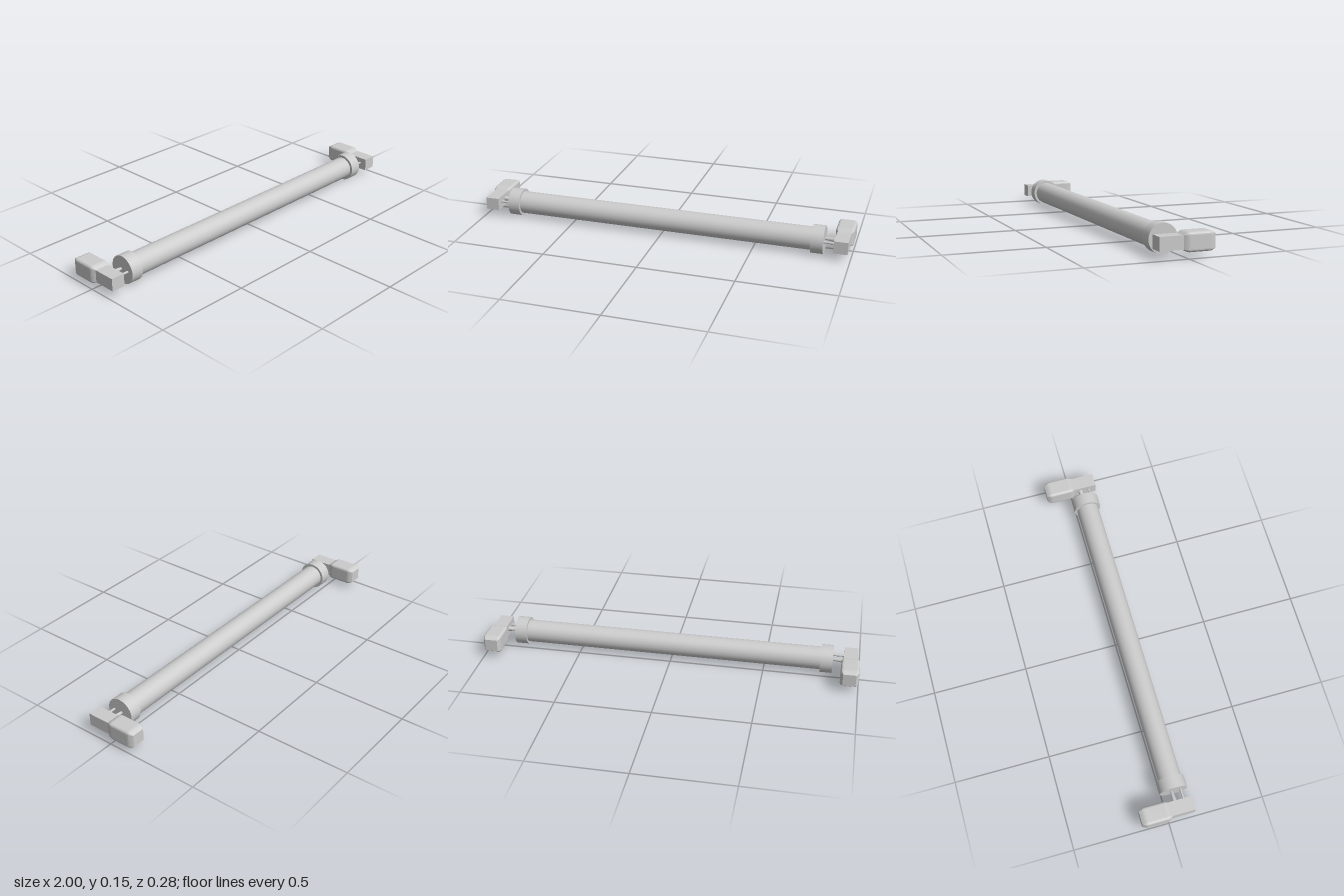
import * as THREE from 'three';

const grey = new THREE.MeshStandardMaterial({ color: 0xcccccc });
const faceted = new THREE.MeshStandardMaterial({ color: 0xcccccc, flatShading: true });
const AXIS_Y = 0.0735, AXIS_Z = 0.062;

function add(parent, name, geometry, material, x, y, z) {
  const mesh = new THREE.Mesh(geometry, material);
  mesh.name = name;
  mesh.position.set(x, y, z);
  parent.add(mesh);
  return mesh;
}

// Cylinder lying along x; r0 at its +x end, r1 at its -x end
function rod(r0, r1, length, sides) {
  return new THREE.CylinderGeometry(r0, r1, length, sides).rotateZ(-Math.PI / 2);
}

// Box along z with rounded long edges whose sections shrink to a sharp core at both ends
function softBlock(width, height, depth, radius, taper) {
  const steps = 4, sections = [];
  for (let i = 0; i <= steps; i++) {
    const t = i / steps;
    sections.push([-depth / 2 + taper * t, radius * Math.sin(t * Math.PI / 2)]);
  }
  for (let i = steps; i >= 0; i--) sections.push([-sections[i][0], sections[i][1]]);

  const cx = width / 2 - radius, cy = height / 2 - radius;
  const corners = [[1, 1], [-1, 1], [-1, -1], [1, -1]];
  const positions = [], index = [], arc = 4, ring = 4 * (arc + 1);
  for (const [z, r] of sections) {
    corners.forEach(([sx, sy], c) => {
      for (let k = 0; k <= arc; k++) {
        const a = (c + k / arc) * Math.PI / 2;
        positions.push(sx * cx + r * Math.cos(a), sy * cy + r * Math.sin(a), z);
      }
    });
  }
  for (let s = 0; s < sections.length - 1; s++) {
    for (let k = 0; k < ring; k++) {
      const a = s * ring + k, b = s * ring + (k + 1) % ring;
      index.push(a, b, b + ring, a, b + ring, a + ring);
    }
  }
  // Flat end faces
  const last = (sections.length - 1) * ring;
  for (let k = 1; k < ring - 1; k++) {
    index.push(0, k + 1, k, last, last + k, last + k + 1);
  }
  const geometry = new THREE.BufferGeometry();
  geometry.setAttribute('position', new THREE.Float32BufferAttribute(positions, 3));
  geometry.setIndex(index);
  return geometry;
}

export function createModel() {
  const model = new THREE.Group();
  model.name = 'tubeLamp';

  add(model, 'tube', rod(0.06, 0.06, 1.62, 32), grey, 0, AXIS_Y, AXIS_Z);

  for (const side of [1, -1]) {
    const end = new THREE.Group();
    end.name = side > 0 ? 'leftEnd' : 'rightEnd';
    model.add(end);

    // Collar around the tube end
    add(end, 'endCap', rod(0.0735, 0.0735, 0.064, 32), grey, side * 0.828, AXIS_Y, AXIS_Z);

    // Two contact pins, the rear one flaring into the socket
    const wide = 0.014, thin = 0.006;
    add(end, 'rearPin', rod(side > 0 ? wide : thin, side > 0 ? thin : wide, 0.07, 12),
      grey, side * 0.888, 0.077, 0.053);
    add(end, 'frontPin', rod(thin, thin, 0.07, 12), grey, side * 0.888, 0.077, 0.1);

    // Socket block and the rounded mount behind it
    add(end, 'socket', new THREE.BoxGeometry(0.072, 0.066, 0.122), grey, side * 0.951, 0.074, 0.079);
    add(end, 'mount', softBlock(0.095, 0.093, 0.161, 0.014, 0.03), faceted, side * 0.9525, 0.0745, -0.0585);
  }
  return model;
}
